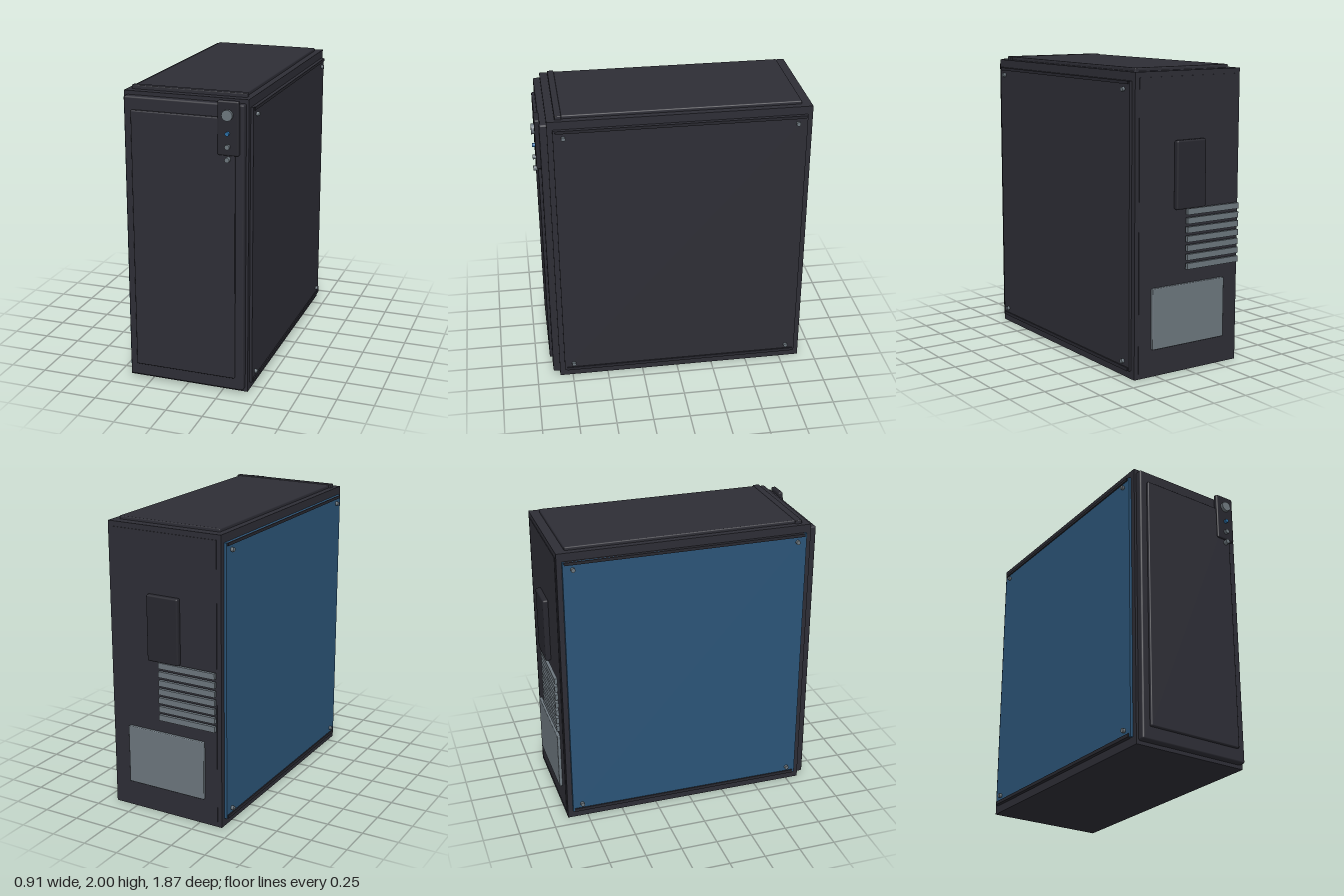
import * as THREE from 'three';
import { RoundedBoxGeometry } from 'three/addons/geometries/RoundedBoxGeometry.js';

const material = (name, color) => {
  const m = new THREE.MeshStandardMaterial({ color });
  m.name = name;
  return m;
};

export function createModel() {
  const model = new THREE.Group();
  model.name = 'computerTower';
  const shell = material('charcoal shell', 0x2d2d35);
  const trim = material('dark trim', 0x27272e);
  const metal = material('grey metal', 0x6c767d);
  const glass = material('blue glass', 0x2b5477);
  const light = material('blue light', 0x2a6ea5);

  // Box from its low and high corners; a radius rounds the edges
  const box = (name, mat, lo, hi, radius = 0) => {
    const [w, h, d] = hi.map((v, i) => v - lo[i]);
    const geo = radius
      ? new RoundedBoxGeometry(w, h, d, 2, radius)
      : new THREE.BoxGeometry(w, h, d);
    const mesh = new THREE.Mesh(geo, mat);
    mesh.name = name;
    mesh.position.set(...hi.map((v, i) => (v + lo[i]) / 2));
    model.add(mesh);
    return mesh;
  };

  // Short cylinder whose axis runs along x or z
  const disc = (name, mat, radius, depth, axis, pos) => {
    const geo = new THREE.CylinderGeometry(radius, radius, depth, 20);
    if (axis === 'x') geo.rotateZ(Math.PI / 2);
    else geo.rotateX(Math.PI / 2);
    const mesh = new THREE.Mesh(geo, mat);
    mesh.name = name;
    mesh.position.set(...pos);
    model.add(mesh);
  };

  // Case
  box('caseBody', shell, [-0.416, 0, -0.89], [0.416, 1.975, 0.84]);
  box('backPlate', shell, [-0.385, 0.035, -0.894], [0.385, 1.94, -0.88]);

  // Top cover and its front strip
  box('topCover', shell, [-0.372, 1.965, -0.825], [0.372, 1.997, 0.745], 0.008);
  box('topStrip', shell, [-0.386, 1.965, 0.742], [0.386, 2, 0.787], 0.006);

  // Front bezel and panel
  box('frontBezel', shell, [-0.4, 0.025, 0.83], [0.4, 1.95, 0.886], 0.012);
  box('frontPanel', shell, [-0.348, 0.113, 0.87], [0.345, 1.865, 0.905], 0.008);

  // Control strip with button, light and ports
  box('controlPlate', trim, [0.235, 1.63, 0.88], [0.375, 1.975, 0.915], 0.01);
  disc('powerButton', metal, 0.035, 0.035, 'z', [0.305, 1.888, 0.918]);
  disc('statusLight', light, 0.013, 0.03, 'z', [0.305, 1.772, 0.92]);
  disc('upperPort', metal, 0.016, 0.03, 'z', [0.305, 1.688, 0.92]);
  disc('lowerPort', metal, 0.016, 0.035, 'z', [0.305, 1.607, 0.918]);

  // Side panels with rails and corner screws
  for (const side of [-1, 1]) {
    const label = side > 0 ? 'left' : 'right';
    const sideBox = (name, mat, inner, outer, y0, y1, z0, z1) =>
      box(label + name, mat,
        [Math.min(side * inner, side * outer), y0, z0],
        [Math.max(side * inner, side * outer), y1, z1]);
    sideBox('SidePanel', side > 0 ? shell : glass, 0.41, 0.434, 0.055, 1.92, -0.855, 0.805);
    sideBox('UpperRail', trim, 0.416, 0.442, 1.9, 1.92, -0.845, 0.79);
    sideBox('LowerRail', trim, 0.416, 0.442, 0.055, 0.078, -0.845, 0.79);
    for (const y of [0.11, 1.867]) {
      for (const z of [-0.79, 0.74]) {
        disc(label + 'Screw', metal, 0.014, 0.02, 'x', [side * 0.443, y, z]);
      }
    }
  }

  // Rear connector plate, expansion slots and power supply
  box('connectorPlate', trim, [-0.12, 1.088, -0.93], [0.115, 1.535, -0.89], 0.012);
  for (let i = 0; i < 7; i++) {
    const y = 0.71 + i * 0.06;
    box('expansionSlot', metal, [-0.39, y - 0.02, -0.934], [0.03, y + 0.02, -0.912]);
  }
  box('powerSupply', metal, [-0.292, 0.185, -0.915], [0.288, 0.592, -0.885], 0.006);

  return model;
}
